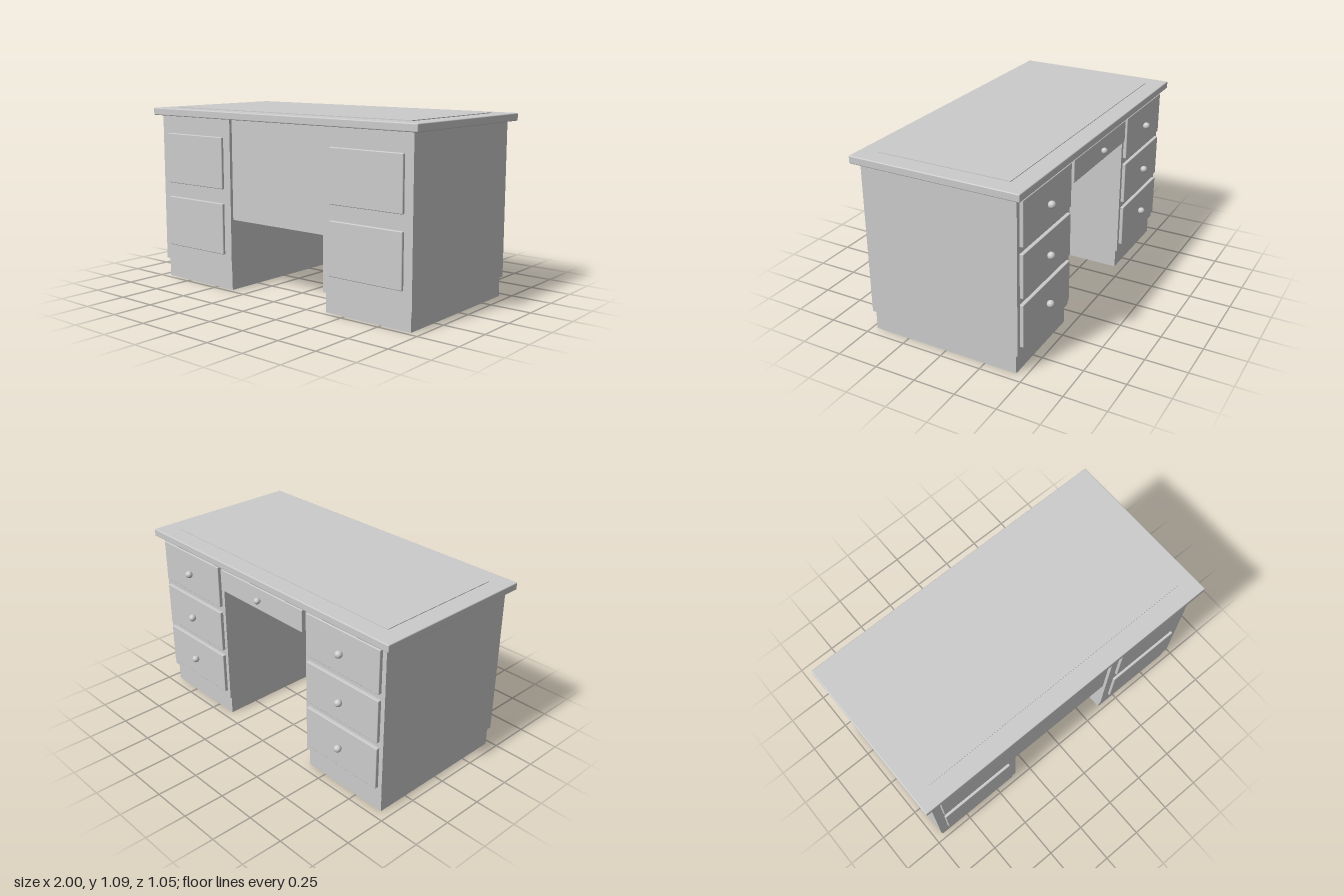
import * as THREE from 'three';
import { RoundedBoxGeometry } from 'three/addons/geometries/RoundedBoxGeometry.js';

const material = new THREE.MeshStandardMaterial({ color: 0xcccccc });

// Box given by its limits on each axis; a radius softens the edges
function block(name, [x0, x1], [y0, y1], [z0, z1], radius = 0) {
  const size = [x1 - x0, y1 - y0, z1 - z0];
  const geometry = radius
    ? new RoundedBoxGeometry(...size, 2, radius)
    : new THREE.BoxGeometry(...size);
  const mesh = new THREE.Mesh(geometry, material);
  mesh.name = name;
  mesh.position.set((x0 + x1) / 2, (y0 + y1) / 2, (z0 + z1) / 2);
  return mesh;
}

// Drawer front with a round knob in its middle
function drawer(name, xs, ys, knobRadius) {
  const group = new THREE.Group();
  group.name = name;
  const knob = new THREE.Mesh(new THREE.SphereGeometry(knobRadius, 20, 14), material);
  knob.name = 'knob';
  knob.position.set((xs[0] + xs[1]) / 2, (ys[0] + ys[1]) / 2, -0.501);
  group.add(block('drawerFront', xs, ys, [-0.481, -0.457], 0.004), knob);
  return group;
}

// Pedestal: plinth, cabinet, raised panels in front, three drawers behind
function pedestal(name, side) {
  const group = new THREE.Group();
  group.name = name;
  const span = (a, b) => (side > 0 ? [a, b] : [-b, -a]);
  group.add(
    block('plinth', span(0.37, 0.943), [0, 0.12], [-0.445, 0.47]),
    block('cabinet', span(0.36, 0.955), [0.118, 1.042], [-0.46, 0.484])
  );
  for (const y of [0.218, 0.618]) {
    group.add(block('raisedPanel', span(0.415, 0.9), [y, y + 0.312], [0.478, 0.5], 0.005));
  }
  for (const y of [0.164, 0.461, 0.759]) {
    group.add(drawer('drawer', span(0.385, 0.928), [y, y + 0.26], 0.022));
  }
  return group;
}

export function createModel() {
  const desk = new THREE.Group();
  desk.name = 'desk';
  desk.add(
    pedestal('leftPedestal', 1),
    pedestal('rightPedestal', -1),
    // Panel closing the front of the knee space
    block('modestyPanel', [-0.362, 0.362], [0.435, 1.042], [0.437, 0.465]),
    drawer('centreDrawer', [-0.352, 0.352], [0.885, 1.02], 0.019),
    // Top with a thin writing surface
    block('tabletop', [-1, 1], [1.04, 1.085], [-0.501, 0.523], 0.006),
    block('writingSurface', [-0.89, 0.89], [1.08, 1.089], [-0.39, 0.412])
  );
  return desk;
}
